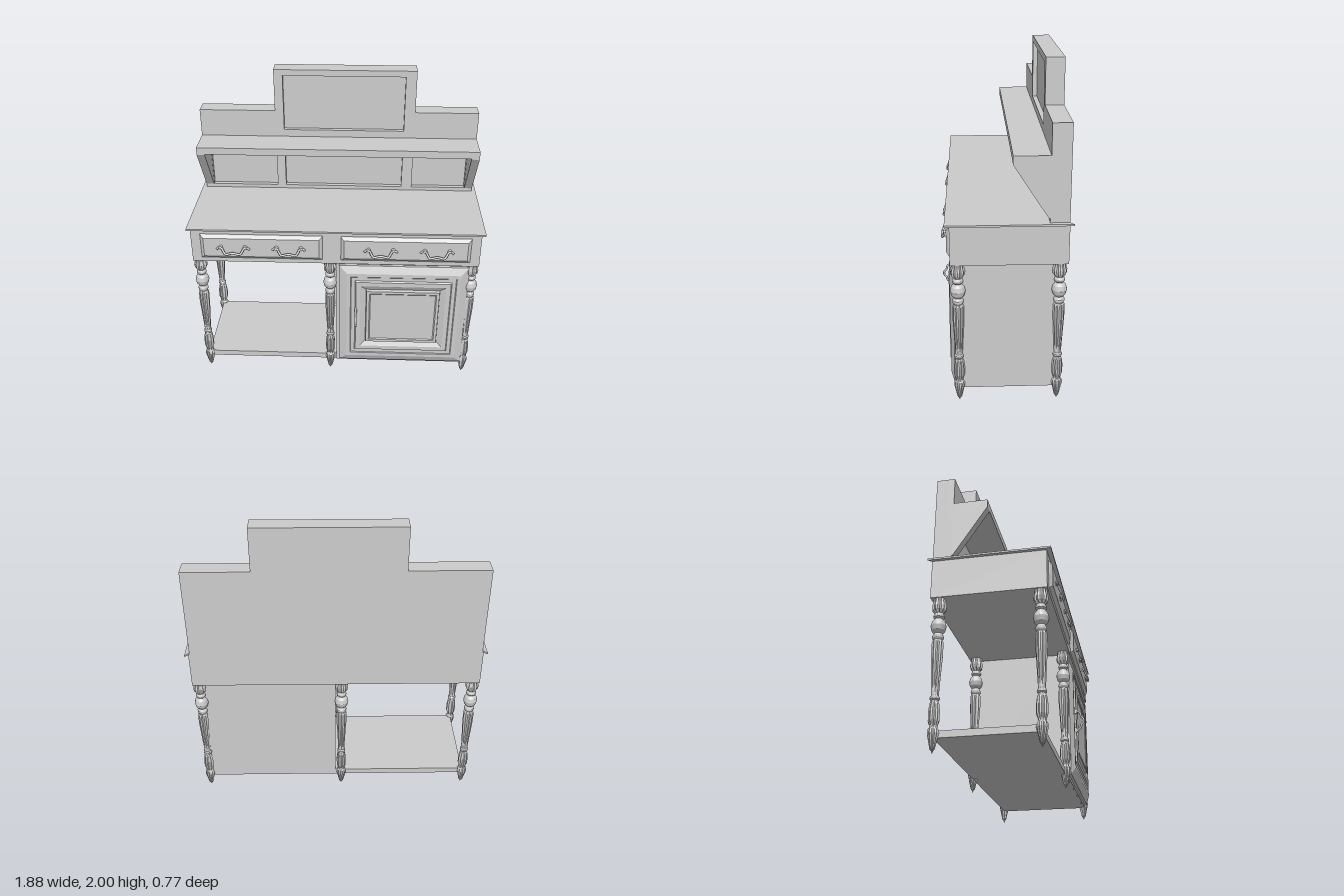
import * as THREE from 'three';

const mat = new THREE.MeshStandardMaterial({ color: 0xcccccc, side: THREE.DoubleSide });
const flat = new THREE.MeshStandardMaterial({ color: 0xcccccc, flatShading: true });

function add(parent, name, geometry, material = mat) {
  const mesh = new THREE.Mesh(geometry, material);
  mesh.name = name;
  parent.add(mesh);
  return mesh;
}

// Box given by its limits on each axis
function box(parent, name, x0, x1, y0, y1, z0, z1) {
  const mesh = add(parent, name, new THREE.BoxGeometry(x1 - x0, y1 - y0, z1 - z0));
  mesh.position.set((x0 + x1) / 2, (y0 + y1) / 2, (z0 + z1) / 2);
  return mesh;
}

const shapeOf = pts => new THREE.Shape(pts.map(p => new THREE.Vector2(...p)));
const rect = (x0, x1, y0, y1) => [[x0, y0], [x1, y0], [x1, y1], [x0, y1]];
const extrude = (shape, depth) => new THREE.ExtrudeGeometry(shape, { depth, bevelEnabled: false });

// Moulded panel: concentric rectangles, each [inset, z], closed in the middle
function moulding(parent, name, [x0, x1, y0, y1], rings) {
  const pos = [], idx = [];
  for (const [d, z] of rings)
    for (const [x, y] of rect(x0 + d, x1 - d, y0 + d, y1 - d)) pos.push(x, y, z);
  for (let i = 0; i < rings.length - 1; i++)
    for (let j = 0; j < 4; j++) {
      const a = i * 4 + j, b = i * 4 + (j + 1) % 4;
      idx.push(a, b, b + 4, a, b + 4, a + 4);
    }
  const e = (rings.length - 1) * 4;
  idx.push(e, e + 1, e + 2, e, e + 2, e + 3);
  const g = new THREE.BufferGeometry();
  g.setAttribute('position', new THREE.Float32BufferAttribute(pos, 3));
  g.setIndex(idx);
  const out = g.toNonIndexed();
  out.computeVertexNormals();
  return add(parent, name, out);
}

// Turned leg with fluted foot, vase, shaft and cap
function legGeometry() {
  const profile = [
    [0, 0], [0.006, 0.015], [0.014, 0.025], [0.033, 0.11], [0.03, 0.13], [0.022, 0.14], [0.024, 0.155],
    [0.032, 0.18], [0.033, 0.23], [0.028, 0.27], [0.021, 0.292], [0.027, 0.3], [0.027, 0.312],
    [0.021, 0.32], [0.024, 0.38], [0.034, 0.56], [0.034, 0.635], [0.026, 0.65], [0.032, 0.662],
    [0.032, 0.675], [0.023, 0.69], [0.038, 0.708], [0.045, 0.735], [0.038, 0.762], [0.023, 0.78],
    [0.031, 0.79], [0.031, 0.802], [0.024, 0.815], [0.04, 0.835], [0.043, 0.86], [0.036, 0.885], [0.036, 0.907],
  ].map(p => new THREE.Vector2(...p));
  const g = new THREE.LatheGeometry(profile, 20);
  const p = g.attributes.position;
  for (let i = 0; i < p.count; i++) {
    const y = p.getY(i);
    const fluted = y < 0.135 || (y > 0.15 && y < 0.285) || (y > 0.33 && y < 0.64) || y > 0.82;
    const k = fluted && Math.floor(i / profile.length) % 2 ? 0.85 : 1;
    p.setXYZ(i, p.getX(i) * k, y, p.getZ(i) * k);
  }
  return g;
}

const tube = (pts, r) => new THREE.TubeGeometry(
  new THREE.CatmullRomCurve3(pts.map(p => new THREE.Vector3(...p))), 32, r, 8);

export function createModel() {
  const root = new THREE.Group();
  root.name = 'sideboard';

  // Legs
  const leg = legGeometry();
  for (const x of [-0.883, -0.035, 0.883])
    for (const z of [0.273, -0.31])
      add(root, z > 0 ? 'frontLeg' : 'backLeg', leg, flat).position.set(x, 0, z);

  // Lower shelf, cupboard, drawer case
  box(root, 'lowerShelf', -0.883, 0.883, 0.085, 0.125, -0.31, 0.273);
  box(root, 'cupboard', 0.005, 0.883, 0.086, 0.91, -0.31, 0.283);
  box(root, 'drawerCase', -0.92, 0.92, 0.905, 1.147, -0.357, 0.315);

  // Table top, with its edge running past the back corners
  const top = extrude(shapeOf([[-0.94, -0.342], [0.94, -0.342], [0.94, 0.38], [0.915, 0.357],
    [-0.915, 0.357], [-0.94, 0.38]]), 0.011);
  top.rotateX(-Math.PI / 2);
  add(root, 'tableTop', top).position.y = 1.144;

  // Drawer fronts
  for (const [x0, x1] of [[-0.86, -0.08], [0.035, 0.86]])
    moulding(root, 'drawerFront', [x0, x1, 0.935, 1.11],
      [[0, 0.314], [0.004, 0.322], [0.022, 0.335]]);

  // Cupboard door with stepped mouldings
  moulding(root, 'door', [0.025, 0.865, 0.105, 0.882], [
    [0, 0.28], [0, 0.3], [0.05, 0.322], [0.075, 0.322], [0.08, 0.318], [0.105, 0.318], [0.112, 0.328],
    [0.142, 0.328], [0.145, 0.326], [0.178, 0.308], [0.182, 0.33], [0.2, 0.33], [0.207, 0.325],
  ]);

  // Drawer pulls: a swept bail between two mounts
  const half = [[0.104, 1.012, 0.338], [0.09, 1.026, 0.343], [0.072, 1.026, 0.346], [0.06, 1.005, 0.354],
    [0.045, 0.987, 0.362], [0.022, 0.992, 0.362]];
  const bail = tube([...half.map(([x, y, z]) => [-x, y, z]), [0, 0.997, 0.362], ...half.slice().reverse()], 0.0075);
  const mount = new THREE.CylinderGeometry(0.011, 0.014, 0.02, 10).rotateX(Math.PI / 2);
  for (const x of [-0.65, -0.295, 0.29, 0.645]) {
    const pull = new THREE.Group();
    pull.name = 'drawerPull';
    add(pull, 'bail', bail);
    for (const s of [-1, 1]) add(pull, 'mount', mount).position.set(s * 0.078, 1.028, 0.341);
    pull.position.x = x;
    root.add(pull);
  }

  // Door handle
  add(root, 'doorHandle', tube([[0.137, 0.412, 0.327], [0.137, 0.425, 0.338], [0.137, 0.437, 0.355],
    [0.137, 0.46, 0.362], [0.137, 0.475, 0.376], [0.137, 0.5, 0.376], [0.137, 0.515, 0.362],
    [0.137, 0.54, 0.355], [0.137, 0.552, 0.338], [0.137, 0.562, 0.327]], 0.007));
  for (const y of [0.425, 0.55]) box(root, 'handlePlate', 0.13, 0.144, y - 0.015, y + 0.015, 0.315, 0.332);

  // Stepped upper back with sunk panels
  const outline = [[-0.913, 1.15], [0.913, 1.15], [0.913, 1.722], [0.5, 1.722], [0.5, 2], [-0.417, 2],
    [-0.417, 1.722], [-0.913, 1.722]];
  const frame = shapeOf(outline);
  for (const r of [[-0.86, -0.417, 1.18, 1.495], [-0.36, 0.43, 1.18, 1.495], [0.5, 0.86, 1.18, 1.495],
    [-0.36, 0.43, 1.59, 1.96]])
    frame.holes.push(new THREE.Path(rect(...r).reverse().map(p => new THREE.Vector2(...p))));
  add(root, 'backFrame', extrude(frame, 0.03)).position.z = -0.275;
  add(root, 'backBoard', extrude(shapeOf(outline), 0.082)).position.z = -0.357;

  // Upper shelf and its side brackets
  box(root, 'upperShelf', -0.913, 0.913, 1.495, 1.542, -0.25, -0.038);
  const bracket = extrude(shapeOf([[0.25, 1.18], [0.25, 1.5], [0.038, 1.5], [0.038, 1.49], [0.238, 1.18]]), 0.052);
  bracket.rotateY(Math.PI / 2);
  for (const x of [-0.913, 0.861]) add(root, 'shelfBracket', bracket).position.x = x;

  return root;
}
